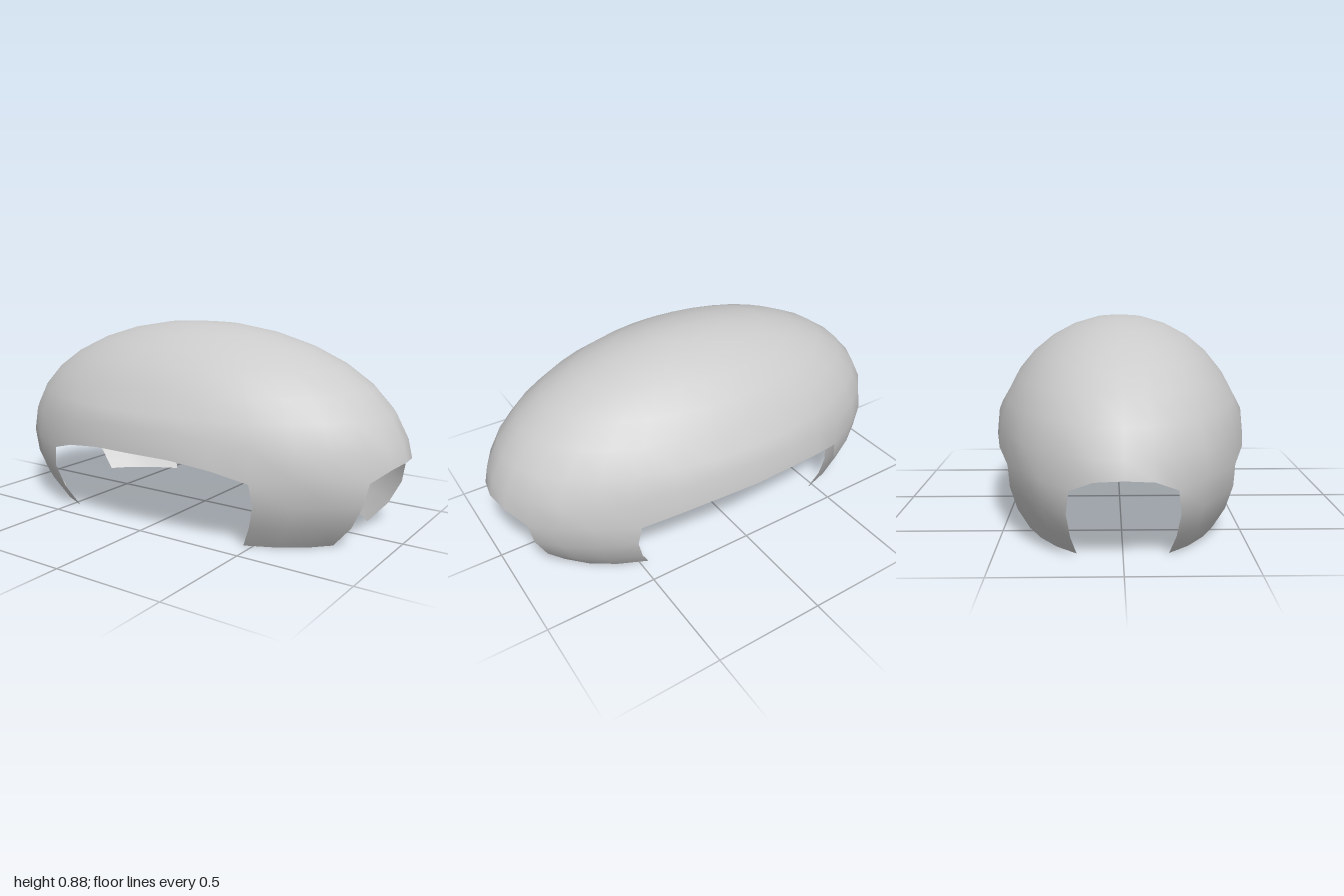
import * as THREE from 'three';

const SEG = 32;              // columns around the shell
const STEP = Math.PI * 2 / SEG;
const RADIUS = 0.565;        // height and depth radius; the length radius is 1
const CENTRE = 0.314;        // height of the widest ring
const RIM = 8, FOOT = 11;    // ring of the opening edges, ring of the feet

// Heights per column of one quarter, from the middle of the front to the middle of the side
const rimY = [0.3625, 0.36, 0.336, 0.293, 0.314, 0.314, 0.297, 0.343, 0.353];
const browLift = [0.05, 0.045, 0.025, 0, 0, 0, 0, 0, 0];

// Column number folded into one quarter
const fold = (j) => {
  const m = j % (SEG / 2);
  return m > 8 ? 16 - m : m;
};
const isLeg = (j) => [fold(j), fold(j + 1)].every((i) => i >= 3 && i <= 6);

function shellPoint(row, j) {
  const i = fold(j), polar = row * STEP, around = j * STEP;
  let x = Math.sin(polar) * Math.sin(around);
  let y = CENTRE + RADIUS * Math.cos(polar);
  let z = RADIUS * Math.sin(polar) * Math.cos(around);
  if (row === RIM - 1) y += browLift[i];
  if (row === RIM) {
    y = rimY[i];
    // corners of the legs reach slightly into the openings
    if (i === 3) x = Math.sign(x) * 0.53;
    if (i === 6) z = Math.sign(z) * 0.2;
  }
  return [x, y, z];
}

function shellGeometry() {
  const positions = [0, CENTRE + RADIUS, 0];
  const index = [];
  const id = (row, j) => (row === 0 ? 0 : 1 + (row - 1) * SEG + (j % SEG));
  for (let row = 1; row <= FOOT; row++) {
    for (let j = 0; j < SEG; j++) positions.push(...shellPoint(row, j));
  }
  for (let row = 0; row < FOOT; row++) {
    for (let j = 0; j < SEG; j++) {
      if (row >= RIM && !isLeg(j)) continue; // openings between the legs
      const a = id(row, j), b = id(row + 1, j), c = id(row + 1, j + 1), d = id(row, j + 1);
      index.push(a, b, c);
      if (row > 0) index.push(a, c, d);
    }
  }
  const geometry = new THREE.BufferGeometry();
  geometry.setAttribute('position', new THREE.Float32BufferAttribute(positions, 3));
  geometry.setIndex(index);
  const clean = geometry.toNonIndexed(); // drops the unused points in the openings
  geometry.computeVertexNormals();
  const normals = geometry.attributes.normal;
  const out = [];
  for (const k of index) out.push(normals.getX(k), normals.getY(k), normals.getZ(k));
  clean.setAttribute('normal', new THREE.Float32BufferAttribute(out, 3));
  return clean;
}

export function createModel() {
  const group = new THREE.Group();
  group.name = 'domeShell';
  // Thin oval dome standing on four curved legs
  const material = new THREE.MeshStandardMaterial({ color: 0xcccccc, side: THREE.DoubleSide });
  const shell = new THREE.Mesh(shellGeometry(), material);
  shell.name = 'domeWithLegs';
  group.add(shell);
  return group;
}
